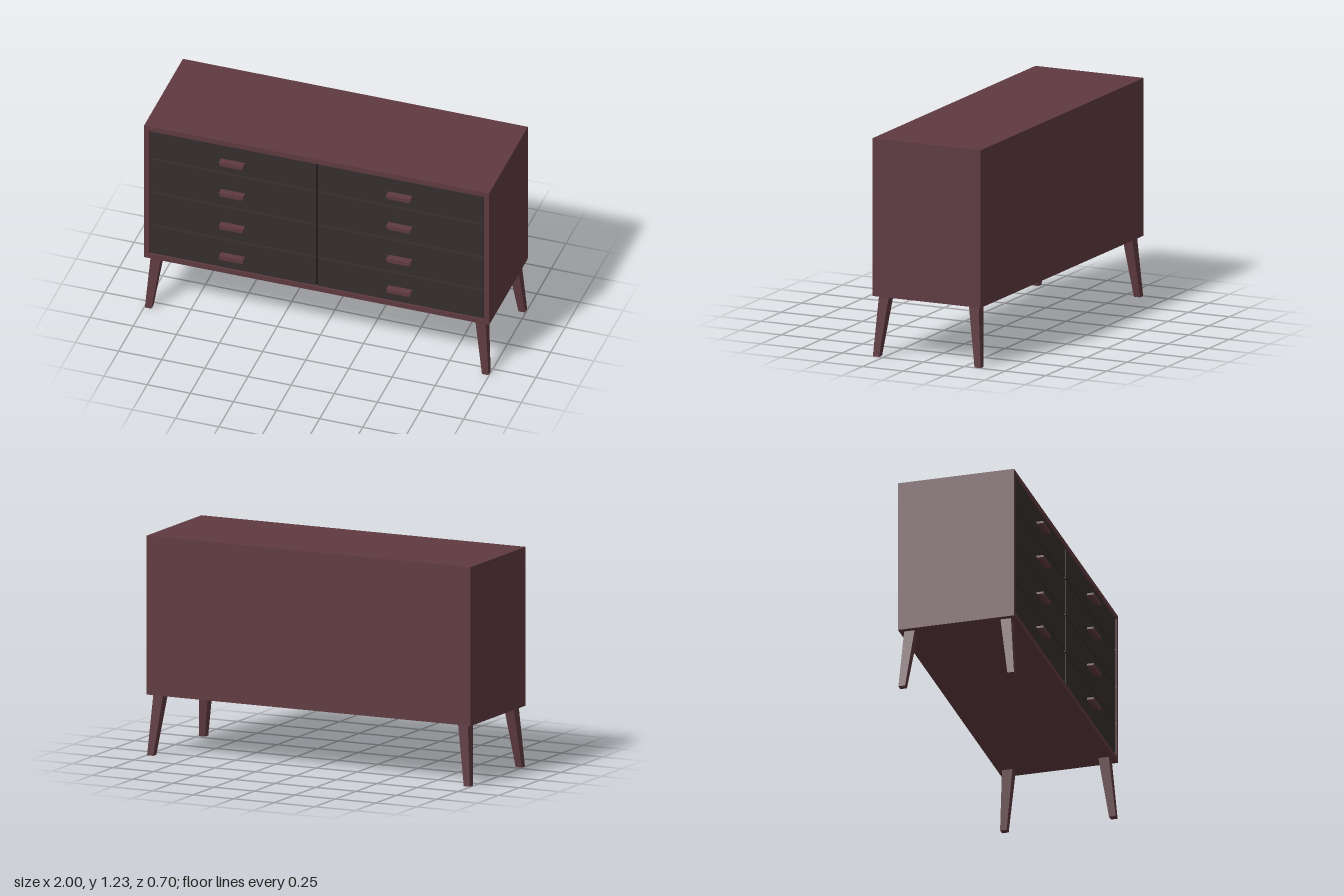
import * as THREE from 'three';

const wood = new THREE.MeshStandardMaterial({ color: 0x5e3a40 });
wood.name = 'reddish wood';
const dark = new THREE.MeshStandardMaterial({ color: 0x362e2e });
dark.name = 'dark drawer front';
const gap = new THREE.MeshStandardMaterial({ color: 0x1e1a1a });
gap.name = 'shadow gap';

const BACK = -0.35, FRONT = 0.315, BOTTOM = 0.34, TOP = 1.228;

// Box given by its lower and upper corners
function box(name, material, [x0, y0, z0], [x1, y1, z1]) {
  const mesh = new THREE.Mesh(new THREE.BoxGeometry(x1 - x0, y1 - y0, z1 - z0), material);
  mesh.position.set((x0 + x1) / 2, (y0 + y1) / 2, (z0 + z1) / 2);
  mesh.name = name;
  return mesh;
}

// Square leg that tapers and splays outward towards the floor
function leg(sx, sz) {
  const g = new THREE.BoxGeometry(1, BOTTOM, 1).toNonIndexed();
  const p = g.attributes.position;
  for (let i = 0; i < p.count; i++) {
    const top = p.getY(i) > 0;
    const size = top ? 0.06 : 0.038;
    const cx = sx * (top ? 0.94 : 0.977);
    const cz = -0.0175 + sz * (top ? 0.276 : 0.312);
    p.setXYZ(i, cx + p.getX(i) * size, top ? BOTTOM : 0, cz + p.getZ(i) * size);
  }
  g.computeVertexNormals();
  const mesh = new THREE.Mesh(g, wood);
  mesh.name = (sz > 0 ? 'front' : 'back') + (sx > 0 ? 'Left' : 'Right') + 'Leg';
  return mesh;
}

// Flat pull with a down-turned lip, narrower at its lower edge
function handle(x, top) {
  const group = new THREE.Group();
  group.name = 'handle';
  group.add(box('handlePlate', wood, [-0.07, -0.012, -0.006], [0.07, 0, 0.035]));
  const shape = new THREE.Shape();
  shape.moveTo(-0.07, -0.012);
  shape.lineTo(-0.062, -0.024);
  shape.lineTo(0.062, -0.024);
  shape.lineTo(0.07, -0.012);
  const lip = new THREE.Mesh(
    new THREE.ExtrudeGeometry(shape, { depth: 0.01, bevelEnabled: false }), wood);
  lip.position.z = 0.025;
  lip.name = 'handleLip';
  group.add(lip);
  group.position.set(x, top, FRONT);
  return group;
}

export function createModel() {
  const model = new THREE.Group();
  model.name = 'dresser';

  // Cabinet shell with an open front
  const outline = new THREE.Shape();
  outline.moveTo(-1, BOTTOM);
  outline.lineTo(1, BOTTOM);
  outline.lineTo(1, TOP);
  outline.lineTo(-1, TOP);
  const hole = new THREE.Path();
  hole.moveTo(-0.97, 0.37);
  hole.lineTo(-0.97, 1.198);
  hole.lineTo(0.97, 1.198);
  hole.lineTo(0.97, 0.37);
  outline.holes.push(hole);
  const shell = new THREE.Mesh(
    new THREE.ExtrudeGeometry(outline, { depth: FRONT - BACK, bevelEnabled: false }), wood);
  shell.position.z = BACK;
  shell.name = 'cabinetShell';
  model.add(shell);
  model.add(box('backPanel', wood, [-0.97, 0.37, BACK], [0.97, 1.198, BACK + 0.02]));
  model.add(box('drawerBacking', gap, [-0.97, 0.37, 0.27], [0.97, 1.198, 0.295]));

  // Two columns of four drawers: bottom, top and handle height
  const rows = [
    [0.375, 0.56, 0.473],
    [0.57, 0.782, 0.679],
    [0.792, 1.005, 0.9],
    [1.015, 1.193, 1.106],
  ];
  for (const s of [-1, 1]) {
    const x0 = s > 0 ? 0.006 : -0.965, x1 = s > 0 ? 0.965 : -0.006;
    for (const [y0, y1, yHandle] of rows) {
      model.add(box('drawerFront', dark, [x0, y0, 0.28], [x1, y1, 0.311]));
      model.add(handle(s * 0.485, yHandle));
    }
    for (const sz of [-1, 1]) model.add(leg(s, sz));
  }
  return model;
}
